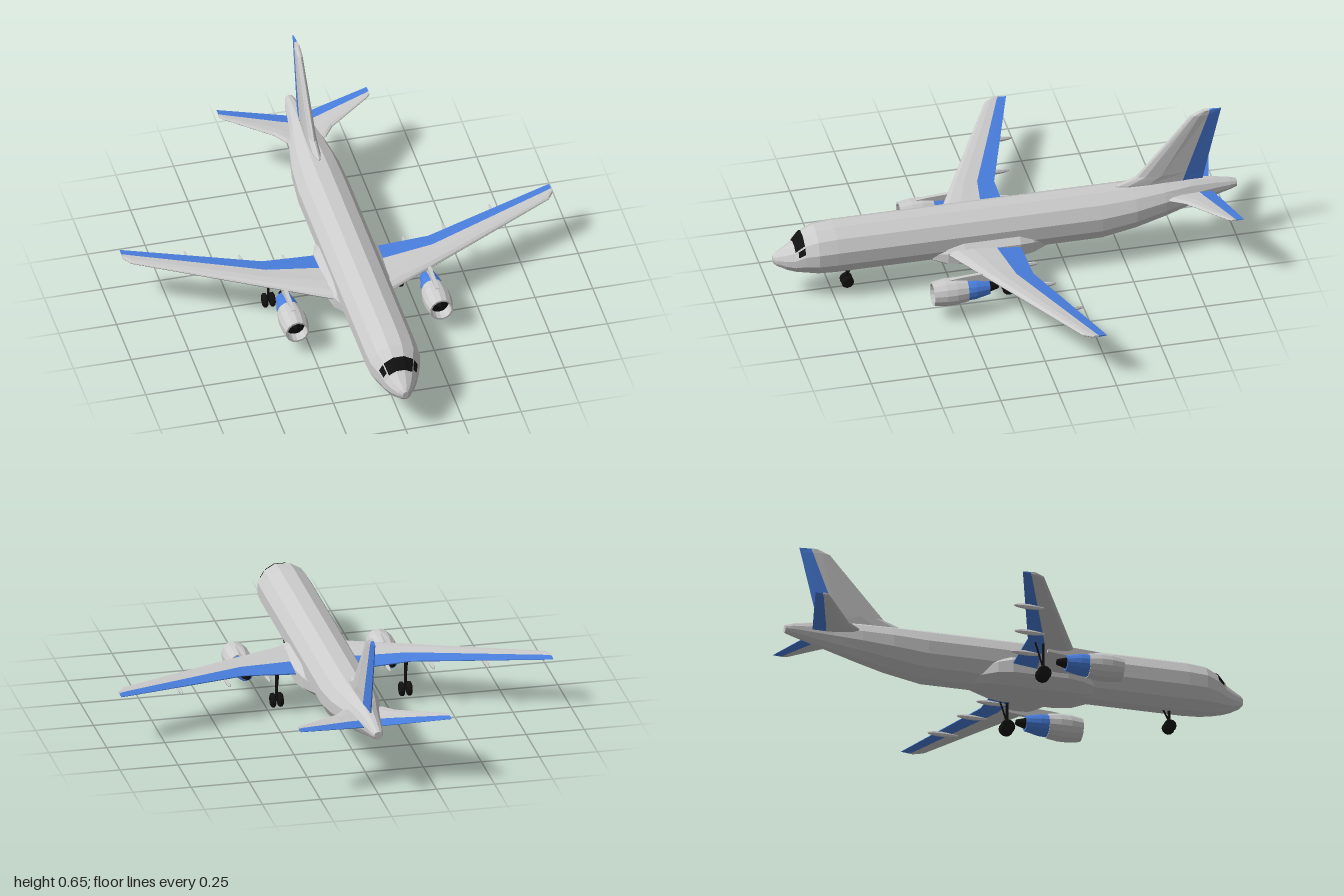
import * as THREE from 'three';

const mat = (color) => new THREE.MeshStandardMaterial({ color, flatShading: true });
const GREY = mat(0xcccccc), BLUE = mat(0x4a80e0), BLACK = mat(0x111111);
const lerp = THREE.MathUtils.lerp;

function mesh(name, geometry, material, parent) {
  const m = new THREE.Mesh(geometry, material);
  m.name = name;
  parent.add(m);
  return m;
}

// Closed solid through rings of equal point count, always wound outwards
function loft(rings) {
  const n = rings[0].length, tris = [];
  for (let i = 0; i < rings.length - 1; i++) {
    for (let j = 0; j < n; j++) {
      const k = (j + 1) % n;
      const a = rings[i][j], b = rings[i][k], c = rings[i + 1][k], d = rings[i + 1][j];
      tris.push([a, b, c], [a, c, d]);
    }
  }
  const first = rings[0], last = rings[rings.length - 1];
  for (let j = 1; j < n - 1; j++) {
    tris.push([first[0], first[j + 1], first[j]], [last[0], last[j], last[j + 1]]);
  }
  let volume = 0;
  const V = (p) => new THREE.Vector3(...p);
  for (const [a, b, c] of tris) volume += V(a).dot(V(b).cross(V(c)));
  const pos = tris.flatMap((t) => (volume < 0 ? [t[0], t[2], t[1]] : t)).flat();
  const g = new THREE.BufferGeometry();
  g.setAttribute('position', new THREE.Float32BufferAttribute(pos, 3));
  g.computeVertexNormals();
  return g;
}

// Fuselage sections: z, half width, top y, bottom y
const HULL = [
  [1, 0.012, 0.197, 0.165], [0.985, 0.028, 0.208, 0.15], [0.95, 0.05, 0.224, 0.132],
  [0.915, 0.068, 0.243, 0.12], [0.875, 0.087, 0.288, 0.112], [0.82, 0.107, 0.312, 0.104],
  [0.74, 0.111, 0.32, 0.1], [0.4, 0.111, 0.32, 0.1], [-0.4, 0.111, 0.32, 0.1],
  [-0.55, 0.102, 0.32, 0.128], [-0.68, 0.08, 0.32, 0.16], [-0.8, 0.052, 0.317, 0.192],
  [-0.9, 0.036, 0.305, 0.22], [-0.97, 0.026, 0.292, 0.24], [-1, 0.018, 0.283, 0.25],
];
const SIDES = 12;

// Point on a twelve-sided section; u counts facets from the top centre
function hullPoint([z, w, top, bottom], u, grow = 0) {
  const corner = (i) => {
    const a = (i * 2 * Math.PI) / SIDES, r = 1 / Math.cos(Math.PI / SIDES);
    return [(w + grow) * r * Math.sin(a),
      (top + bottom) / 2 + ((top - bottom) / 2 + grow) * r * Math.cos(a)];
  };
  const i = Math.floor(u - 0.5) + 0.5, f = u - i;
  const p = corner(i), q = corner(i + 1);
  return [lerp(p[0], q[0], f), lerp(p[1], q[1], f), z];
}

// Thin glass panel lying on the hull between two sections
function glass(name, back, front, us, parent) {
  const edge = (s, g) => us.map((u) => hullPoint(s, u, g));
  const ring = (s) => [...edge(s, 0.003), ...edge(s, -0.004).reverse()];
  mesh(name, loft([ring(back), ring(front)]), BLACK, parent);
}

// Tapered surface in two pieces. Stations: span, leading z, hinge z, trailing z, half thickness
function surface(name, stations, place, parent) {
  const ring = (st, outline) => outline(st).map(([z, h]) => place(st[0], z, h));
  const body = ([, le, hinge, , t]) => {
    const upper = [[0.04, 0.4], [0.18, 0.85], [0.5, 1], [1, 0.7]]
      .map(([f, h]) => [lerp(le, hinge, f), h * t]);
    return [[le, 0], ...upper, ...upper.map(([z, h]) => [z, -h]).reverse()];
  };
  const rear = ([, , hinge, te, t]) =>
    [[hinge, 0.7 * t], [te, 0.12 * t], [te, -0.12 * t], [hinge, -0.7 * t]];
  mesh(name, loft(stations.map((s) => ring(s, body))), GREY, parent);
  mesh(name + 'Flap', loft(stations.map((s) => ring(s, rear))), BLUE, parent);
}

// Turned part along z; points are [radius, z]
function turned(name, points, material, parent) {
  const g = new THREE.LatheGeometry(points.map((p) => new THREE.Vector2(...p)), 14);
  return mesh(name, g.rotateX(Math.PI / 2), material, parent);
}

function rod(name, a, b, r, parent) {
  const A = new THREE.Vector3(...a), B = new THREE.Vector3(...b);
  const m = mesh(name, new THREE.CylinderGeometry(r, r, A.distanceTo(B), 8), BLACK, parent);
  m.position.copy(A).lerp(B, 0.5);
  m.quaternion.setFromUnitVectors(new THREE.Vector3(0, 1, 0), B.sub(A).normalize());
}

function gear(name, x, z, radius, top, spread, parent) {
  const g = new THREE.Group();
  g.name = name;
  parent.add(g);
  rod('strut', [x, radius, z], [x, top, z], 0.006, g);
  rod('brace', [x, radius + 0.025, z], [x, top, z - 0.035], 0.004, g);
  rod('axle', [x - spread, radius, z], [x + spread, radius, z], 0.006, g);
  for (const s of [-1, 1]) {
    const w = radius * 0.33;
    const tyre = new THREE.LatheGeometry([[0, -w], [0.8, -w], [1, -w * 0.5], [1, w * 0.5], [0.8, w], [0, w]]
      .map(([r, y]) => new THREE.Vector2(r * radius, y)), 12);
    mesh('wheel', tyre.rotateZ(Math.PI / 2), BLACK, g).position.set(x + s * spread, radius, z);
  }
}

export function createModel() {
  const plane = new THREE.Group();
  plane.name = 'airliner';

  // Fuselage and cockpit glass
  const ring = (s) => Array.from({ length: SIDES }, (_, i) => hullPoint(s, i + 0.5));
  mesh('fuselage', loft(HULL.map(ring)), GREY, plane);
  const mix = (f) => HULL[3].map((v, i) => lerp(v, HULL[4][i], f));
  glass('windshield', HULL[4], mix(0.08), [-1.45, -0.5, 0.5, 1.45], plane);
  for (const s of [-1, 1]) {
    glass('sideWindow', HULL[4], mix(0.35), [1.65 * s, 2.25 * s], plane);
  }

  // Belly fairing: z, half width, top y, bottom y
  const belly = [[0.33, 0.085, 0.17, 0.11], [0.27, 0.125, 0.19, 0.095], [0.2, 0.138, 0.2, 0.09],
    [-0.04, 0.138, 0.2, 0.09], [-0.1, 0.12, 0.19, 0.095], [-0.19, 0.06, 0.16, 0.105]];
  mesh('bellyFairing', loft(belly.map(([z, w, t, b]) => [
    [w * 0.75, t + 0.015, z], [w, t - 0.015, z], [w, lerp(b, t, 0.35), z], [w * 0.6, b, z],
    [-w * 0.6, b, z], [-w, lerp(b, t, 0.35), z], [-w, t - 0.015, z], [-w * 0.75, t + 0.015, z],
  ])), GREY, plane);

  // Tail fin with its dorsal fillet
  surface('fin', [
    [0.3, -0.47, -0.76, -0.852, 0.02], [0.326, -0.48, -0.769, -0.858, 0.02],
    [0.358, -0.565, -0.78, -0.865, 0.02], [0.63, -0.8, -0.878, -0.93, 0.013],
    [0.65, -0.85, -0.885, -0.935, 0.009],
  ], (y, z, h) => [h, y, z], plane);

  for (const s of [-1, 1]) {
    const side = s > 0 ? 'left' : 'right';

    // Wing and tailplane
    surface(side + 'Wing', [
      [0.08, 0.29, 0.072, -0.04, 0.023], [0.36, 0.15, 0.033, -0.04, 0.016],
      [0.905, -0.125, -0.178, -0.217, 0.008], [0.93, -0.165, -0.19, -0.225, 0.006],
    ], (x, z, h) => [s * x, 0.163 + 0.054 * x + h, z], plane);
    surface(side + 'Tailplane', [
      [0.02, -0.66, -0.825, -0.885, 0.012], [0.085, -0.7, -0.842, -0.9, 0.011],
      [0.125, -0.755, -0.856, -0.91, 0.01], [0.31, -0.888, -0.918, -0.954, 0.005],
      [0.325, -0.905, -0.926, -0.958, 0.004],
    ], (x, z, h) => [s * x, 0.258 + 0.115 * x + h, z], plane);

    // Flap track fairings under the trailing edge
    for (const [x, z] of [[0.26, -0.02], [0.44, -0.055], [0.66, -0.12]]) {
      const pod = new THREE.SphereGeometry(1, 6, 8).rotateX(Math.PI / 2).scale(0.009, 0.012, 0.068);
      mesh('flapTrackFairing', pod, GREY, plane).position.set(s * x, 0.15 + 0.054 * x, z);
    }

    // Engine: nacelle with hollow intake, fan, core, exhaust cone and pylon
    const engine = new THREE.Group();
    engine.name = side + 'Engine';
    engine.position.set(s * 0.312, 0.114, 0);
    plane.add(engine);
    turned('nacelle', [[0.03, 0.235], [0.052, 0.235], [0.059, 0.285], [0.059, 0.33], [0.051, 0.383],
      [0.043, 0.383], [0.041, 0.335]], GREY, engine);
    turned('fan', [[0.042, 0.338], [0.014, 0.34], [0, 0.36]], BLACK, engine);
    turned('core', [[0, 0.14], [0.033, 0.14], [0.046, 0.2], [0.048, 0.24]], BLUE, engine);
    turned('exhaustCone', [[0, 0.098], [0.012, 0.1], [0.025, 0.145]], BLACK, engine);
    const pylon = [[0.31, 0.05, 0.06], [0.26, 0.045, 0.066], [0.16, 0.03, 0.072], [0.06, 0.04, 0.065]];
    mesh('pylon', loft(pylon.map(([z, b, t]) =>
      [[-0.008, b, z], [0.008, b, z], [0.008, t, z], [-0.008, t, z]])), GREY, engine);
  }

  // Landing gear
  gear('noseGear', 0, 0.68, 0.027, 0.12, 0.016, plane);
  gear('leftMainGear', 0.205, 0.03, 0.031, 0.165, 0.016, plane);
  gear('rightMainGear', -0.35, 0.03, 0.031, 0.175, 0.016, plane);

  return plane;
}
